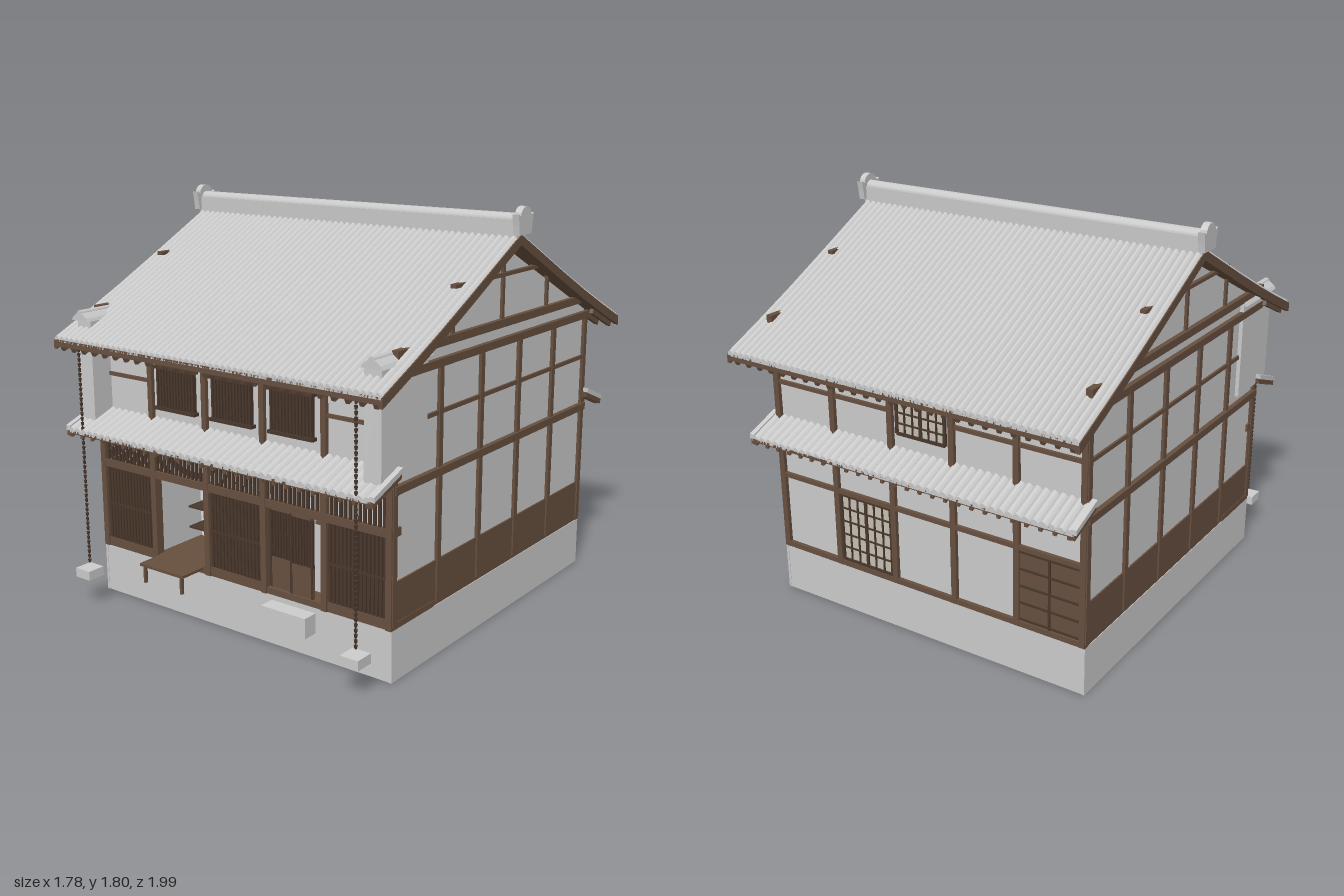
import * as THREE from 'three';
import { mergeGeometries } from 'three/addons/utils/BufferGeometryUtils.js';

const mat = (name, color, side = THREE.FrontSide) => {
  const m = new THREE.MeshStandardMaterial({ color, side });
  m.name = name;
  return m;
};

export function createModel() {
  const plaster = mat('pale plaster and stone', 0xcccccc);
  const tile = mat('grey roof tile', 0xc9c9c9, THREE.DoubleSide);
  const wood = mat('brown timber', 0x67503f);
  const dark = mat('dark lattice timber', 0x4a382d);
  const paper = mat('paper screen', 0xc6c0b2);
  const interior = mat('bright inner wall', 0xdedede);

  const model = new THREE.Group();
  model.name = 'townhouse';

  const add = (name, geo, m, parent = model) => {
    const mesh = new THREE.Mesh(geo, m);
    mesh.name = name;
    parent.add(mesh);
    return mesh;
  };
  // Box given by its limits on each axis
  const boxGeo = (x0, x1, y0, y1, z0, z1) =>
    new THREE.BoxGeometry(x1 - x0, y1 - y0, z1 - z0).translate((x0 + x1) / 2, (y0 + y1) / 2, (z0 + z1) / 2);
  const box = (name, m, ...limits) => add(name, boxGeo(...limits), m);
  // Profile of [z, y] points extruded along x
  const extrudeX = (pts, x0, x1) => {
    const s = new THREE.Shape(pts.map(([z, y]) => new THREE.Vector2(-z, y)));
    return new THREE.ExtrudeGeometry(s, { depth: x1 - x0, bevelEnabled: false, curveSegments: 16 })
      .rotateY(Math.PI / 2).translate(x0, 0, 0);
  };
  // Row of upright slats
  const slats = (name, m, x0, x1, y0, y1, z0, z1, n, w) => {
    const list = [];
    for (let i = 0; i < n; i++) {
      const c = x0 + (x1 - x0) * (i + 0.5) / n;
      list.push(boxGeo(c - w / 2, c + w / 2, y0, y1, z0, z1));
    }
    return add(name, mergeGeometries(list), m);
  };
  // Ribbed tile sheet following [z, y] points from top to eave, closed by a lip
  const tileSheet = (name, half, pts, ribs, parent) => {
    const rows = [...pts, [pts.at(-1)[0], pts.at(-1)[1] - 0.012]];
    const seg = ribs * 6;
    const g = new THREE.PlaneGeometry(2, 1, seg, rows.length - 1);
    const p = g.attributes.position;
    const flip = pts.at(-1)[0] < 0 ? -1 : 1;
    for (let i = 0; i < p.count; i++) {
      const r = Math.floor(i / (seg + 1)), c = i % (seg + 1);
      const bump = r < pts.length ? 0.014 * Math.abs(Math.sin(c / 6 * Math.PI)) : 0;
      p.setXYZ(i, p.getX(i) * half * flip, rows[r][1] + bump, rows[r][0]);
    }
    const flat = g.toNonIndexed();
    flat.computeVertexNormals();
    add(name, flat, tile, parent);
  };
  const slab = (pts, t, x0, x1) =>
    extrudeX([...pts, ...pts.slice().reverse().map(([z, y]) => [z, y - t])], x0, x1);

  // Hollow plinth, open underneath
  for (const s of [-1, 1]) {
    add('plinthSide', boxGeo(-0.006, 0.006, 0, 0.22, -0.8, 0.8).translate(s * 0.794, 0, 0), plaster);
    add('plinthEnd', boxGeo(-0.8, 0.8, 0, 0.22, -0.006, 0.006).translate(0, 0, s * 0.792), plaster);
  }
  box('plinthTop', plaster, -0.79, 0.79, 0.205, 0.22, -0.79, 0.79);

  // House body with a recess behind the shop front
  add('walls', extrudeX([[-0.785, 0.22], [0.5, 0.22], [0.5, 0.62], [0.785, 0.62],
    [0.785, 1.26], [0, 1.64], [-0.785, 1.26]], -0.79, 0.79), plaster);
  for (const s of [-1, 1])
    add('frontSideWall', boxGeo(-0.01, 0.01, 0.22, 0.62, 0.5, 0.785).translate(s * 0.78, 0, 0), plaster);

  const posts = [-0.785, -0.473, -0.16, 0.155, 0.47, 0.785];

  // Side framing, boards and gable timbers
  for (const s of [-1, 1]) {
    const side = (name, y0, y1, z0, z1, out = 0.806) =>
      box(name, wood, Math.min(s * 0.782, s * out), Math.max(s * 0.782, s * out), y0, y1, z0, z1);
    side('sideBoards', 0.22, 0.415, -0.798, 0.79, 0.797);
    for (const z of posts) side('sidePost', 0.235, 1.24, z - 0.0135, z + 0.0135, 0.804);
    side('floorBeam', 0.776, 0.809, -0.797, 0.793, 0.812);
    side('wallBeam', 1.22, 1.253, -0.805, 0.8, 0.812);
    side('gableBeam', 1.3, 1.334, -0.8, 0.79, 0.812);
    side('middleRail', 1.025, 1.043, -0.79, 0.58, 0.8);
    side('upperGableBeam', 1.512, 1.528, -0.39, 0.39, 0.808);
    for (const z of [-0.39, 0, 0.39]) side('gablePost', 1.33, z ? 1.48 : 1.65, z - 0.009, z + 0.009, 0.802);
  }

  // Shop front framing
  for (const x of posts) {
    box('frontPost', wood, x - 0.014, x + 0.014, 0.22, 0.79, 0.765, 0.805);
    if (Math.abs(x) < 0.7) box('upperPost', wood, x - 0.013, x + 0.013, 0.8, 1.21, 0.77, 0.803);
  }
  box('sill', wood, -0.8, 0.8, 0.22, 0.247, 0.5, 0.798);
  box('lintel', wood, -0.8, 0.8, 0.602, 0.636, 0.74, 0.803);
  box('topBeam', wood, -0.8, 0.8, 0.765, 0.8, 0.76, 0.805);
  box('eaveBeam', wood, -0.8, 0.8, 1.17, 1.198, 0.77, 0.803);
  slats('transomSlats', dark, -0.77, 0.77, 0.636, 0.766, 0.786, 0.797, 66, 0.011);

  // Lattice bays
  for (const [a, b] of [[-0.771, -0.487], [-0.146, 0.141], [0.484, 0.771]]) {
    box('bayBack', plaster, a, b, 0.247, 0.61, 0.71, 0.72);
    slats('latticeSlats', dark, a, b, 0.247, 0.605, 0.765, 0.795, 15, 0.0125);
    box('latticeRail', dark, a, b, 0.422, 0.432, 0.765, 0.796);
    box('latticeFoot', wood, a, b, 0.247, 0.262, 0.763, 0.798);
  }

  // Open shop bay with shelves and folding bench
  box('shopBackWall', interior, -0.47, -0.16, 0.247, 0.61, 0.5, 0.508);
  for (const x of [-0.48, -0.155]) box('shopSideWall', plaster, x - 0.005, x + 0.005, 0.247, 0.61, 0.5, 0.77);
  for (const y of [0.328, 0.425]) box('shelf', dark, -0.44, -0.19, y - 0.004, y + 0.004, 0.508, 0.62);
  box('benchTop', wood, -0.445, -0.19, 0.238, 0.25, 0.78, 0.93);
  for (const x of [-0.427, -0.21]) box('benchLeg', wood, x - 0.006, x + 0.006, 0.16, 0.24, 0.908, 0.922);

  // Sliding entrance doors, one slightly open
  box('entranceBack', plaster, 0.169, 0.456, 0.247, 0.61, 0.7, 0.71);
  [[0.17, 0.287], [0.287, 0.405]].forEach(([a, b], i) => {
    const z = 0.765 + i * 0.012;
    box('doorPanel', wood, a, b, 0.247, 0.38, z, z + 0.012);
    box('doorHead', wood, a, b, 0.585, 0.605, z, z + 0.012);
    for (const x of [a, b - 0.01]) box('doorStile', dark, x, x + 0.01, 0.247, 0.6, z, z + 0.014);
    slats('doorSlats', dark, a, b, 0.38, 0.59, z, z + 0.01, 8, 0.007);
  });
  box('gapBoard', wood, 0.405, 0.456, 0.247, 0.295, 0.71, 0.73);
  box('gapHead', wood, 0.405, 0.456, 0.57, 0.583, 0.71, 0.77);

  // Upper front windows and rails
  for (const x of [-0.317, -0.002, 0.312]) {
    box('windowBack', paper, x - 0.105, x + 0.105, 0.93, 1.115, 0.785, 0.789);
    slats('windowSlats', dark, x - 0.11, x + 0.11, 0.93, 1.115, 0.789, 0.81, 13, 0.009);
    for (const y of [0.931, 1.112]) box('windowRail', dark, x - 0.116, x + 0.116, y - 0.007, y + 0.007, 0.786, 0.816);
  }
  for (const [a, b] of [[-0.735, -0.48], [0.48, 0.735]]) box('upperRail', wood, a, b, 1.03, 1.046, 0.78, 0.796);

  // Wing walls with small tiled caps
  for (const s of [-1, 1]) {
    const c = s * 0.768;
    box('wingWall', plaster, c - 0.04, c + 0.04, 0.84, 1.29, 0.58, 0.89);
    const cap = new THREE.Shape([[-0.05, 1.285], [0.05, 1.285], [0.04, 1.3], [0, 1.33], [-0.04, 1.3]]
      .map(([x, y]) => new THREE.Vector2(x, y)));
    add('wingCap', new THREE.ExtrudeGeometry(cap, { depth: 0.34, bevelEnabled: false }).translate(s * 0.775, 0, 0.57), tile);
    add('wingCapRoll', new THREE.CylinderGeometry(0.014, 0.014, 0.34, 10).rotateX(Math.PI / 2)
      .translate(s * 0.775, 1.318, 0.74), tile);
  }

  // Back wall framing
  for (const x of posts) box('backPost', wood, x - 0.0135, x + 0.0135, 0.22, 1.24, -0.803, -0.77);
  for (const [y0, y1] of [[0.22, 0.245], [0.575, 0.595], [0.776, 0.806], [1.22, 1.25]])
    box('backBeam', wood, -0.8, 0.8, y0, y1, -0.802, -0.77);
  for (const [a, b] of [[-0.785, -0.16], [0.155, 0.785]]) box('backRail', wood, a, b, 1.025, 1.043, -0.798, -0.78);

  // Back paper windows with grid bars
  const gridWindow = (x0, x1, y0, y1, nx, ny) => {
    box('screenPaper', paper, x0, x1, y0, y1, -0.791, -0.785);
    for (let i = 0; i <= nx; i++) {
      const x = x0 + (x1 - x0) * i / nx, w = i % (nx / 2) ? 0.003 : 0.007;
      box('screenBar', dark, x - w, x + w, y0, y1, -0.798, -0.788);
    }
    for (let j = 0; j <= ny; j++) {
      const y = y0 + (y1 - y0) * j / ny, w = j % ny ? 0.003 : 0.007;
      box('screenBar', dark, x0, x1, y - w, y + w, -0.798, -0.788);
    }
  };
  gridWindow(0.175, 0.45, 0.25, 0.57, 6, 5);
  gridWindow(-0.125, 0.12, 0.94, 1.13, 6, 4);

  // Back shutter doors
  box('shutter', wood, -0.772, -0.486, 0.245, 0.576, -0.793, -0.785);
  for (let j = 0; j < 5; j++) box('shutterRail', dark, -0.772, -0.486, 0.25 + j * 0.078, 0.259 + j * 0.078, -0.799, -0.79);
  box('shutterStile', dark, -0.634, -0.624, 0.245, 0.576, -0.799, -0.79);

  // Main roof
  const roof = new THREE.Group();
  roof.name = 'mainRoof';
  roof.position.z = -0.007;
  model.add(roof);
  for (const s of [-1, 1]) {
    const line = [[0, 1.69], [0.38, 1.495], [0.6, 1.385], [0.8, 1.29], [0.983, 1.207]].map(([z, y]) => [s * z, y]);
    tileSheet('roofTiles', 0.868, line, 54, roof);
    const under = line.map(([z, y]) => [z, y - 0.002]);
    add('roofBoards', slab(under, 0.03, -0.86, 0.86), wood, roof);
    for (const x of [-0.872, 0.854]) add('vergeBoard', slab(under, 0.043, x, x + 0.018), wood, roof);
    // Rafters under the eave
    const list = [];
    for (let i = 0; i < 27; i++)
      list.push(new THREE.BoxGeometry(0.018, 0.022, 0.22).rotateX(s * 0.425)
        .translate(-0.832 + i * 0.064, 1.209, s * 0.87));
    add('rafters', mergeGeometries(list), wood, roof);
  }

  // Ridge with end ornaments
  add('ridgeCourse', boxGeo(-0.87, 0.87, 1.67, 1.75, -0.035, 0.035), tile, roof);
  add('ridgeRoll', new THREE.CylinderGeometry(0.03, 0.03, 1.75, 12).rotateZ(Math.PI / 2).translate(0, 1.745, 0), tile, roof);
  const crest = [[-0.05, 1.69], [0.05, 1.69], [0.055, 1.73], [0.063, 1.775], [0.043, 1.768]];
  for (let i = 1; i < 8; i++) crest.push([0.043 * Math.cos(i * Math.PI / 8), 1.765 + 0.04 * Math.sin(i * Math.PI / 8)]);
  crest.push([-0.043, 1.768], [-0.063, 1.775], [-0.055, 1.73]);
  for (const x of [-0.89, 0.86]) add('ridgeOrnament', extrudeX(crest, x, x + 0.03), tile, roof);

  // Lower canopies, front and back
  for (const [name, line] of [['frontCanopy', [[0.78, 0.872], [0.968, 0.803]]], ['backCanopy', [[-0.78, 0.866], [-0.937, 0.803]]]]) {
    const g = new THREE.Group();
    g.name = name;
    model.add(g);
    tileSheet('canopyTiles', 0.82, line, 42, g);
    const under = line.map(([z, y]) => [z, y - 0.002]);
    add('canopyBoards', slab(under, 0.014, -0.815, 0.815), wood, g);
    for (const x of [-0.826, 0.81]) add('canopyVerge', slab(under, 0.025, x, x + 0.016), wood, g);
    const ribs = [];
    for (let i = 0; i < 26; i++) ribs.push(slab(under, 0.028, -0.808 + i * 0.064, -0.792 + i * 0.064));
    add('canopyRafters', mergeGeometries(ribs), wood, g);
    for (const x of [-0.82, 0.82])
      add('canopyEndRoll', slab(line.map(([z, y]) => [z, y + 0.018]), 0.022, x - 0.012, x + 0.012), tile, g);
  }

  // Rain chains, their stones and the doorstep
  for (const s of [-1, 1]) {
    const links = [];
    for (let y = 0.2; y < 1.18; y += 0.022)
      links.push(new THREE.CylinderGeometry(0.008, 0.005, 0.015, 6).translate(s * 0.74, y, 0.955));
    links.push(new THREE.CylinderGeometry(0.002, 0.002, 1, 5).translate(s * 0.74, 0.69, 0.955));
    add('rainChain', mergeGeometries(links), dark);
    box('chainStone', plaster, s * 0.74 - 0.043, s * 0.74 + 0.043, 0.128, 0.17, 0.915, 1);
  }
  box('doorstep', plaster, 0.195, 0.425, 0.11, 0.198, 0.8, 0.87);

  return model;
}
